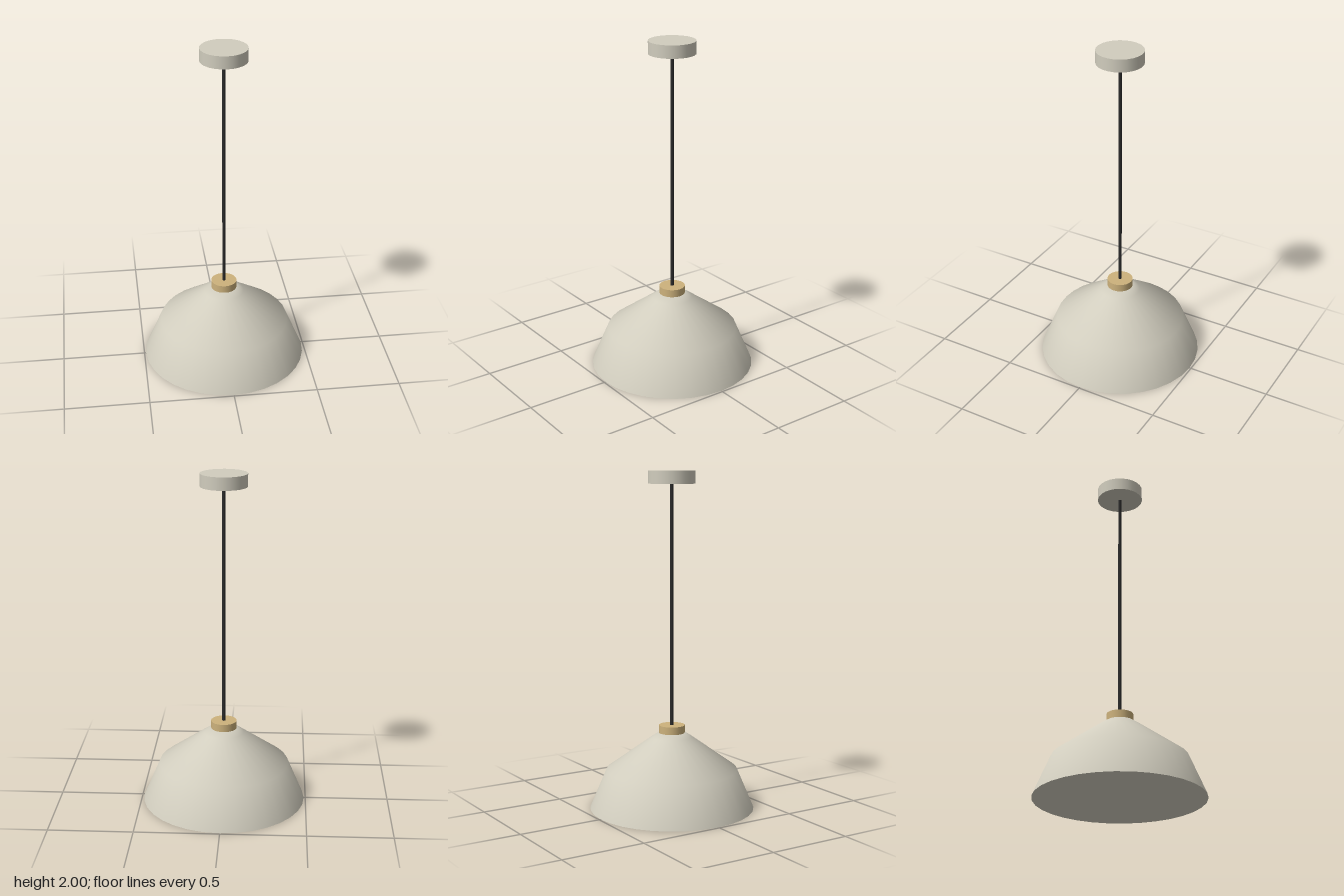
import * as THREE from 'three';

export function createModel() {
  const group = new THREE.Group();
  const material = (name, color, side = THREE.FrontSide) => {
    const m = new THREE.MeshStandardMaterial({ color, side });
    m.name = name;
    return m;
  };
  const stone = material('warm grey', 0xd1cdbe, THREE.DoubleSide);
  const brass = material('pale brass', 0xcdb27c);
  const black = material('cord black', 0x2b2b2b);

  const add = (name, geometry, mat, y = 0) => {
    const mesh = new THREE.Mesh(geometry, mat);
    mesh.name = name;
    mesh.position.y = y;
    group.add(mesh);
  };
  const rod = (name, r, bottom, top, sides, mat) =>
    add(name, new THREE.CylinderGeometry(r, r, top - bottom, sides), mat, (bottom + top) / 2);

  // Ceiling canopy, cord and collar
  rod('canopy', 0.137, 1.925, 2, 24, stone);
  rod('cord', 0.01, 0.49, 1.93, 12, black);
  rod('collar', 0.077, 0.455, 0.502, 24, brass);

  // Shade: shallow upper cone over a steep skirt
  const R = 0.49, SIDES = 32;
  const profile = [[R, 0], [0.39, 0.235], [0.12, 0.43], [0.08, 0.456], [0, 0.456]];
  add('shade', new THREE.LatheGeometry(profile.map(([x, y]) => new THREE.Vector2(x, y)), SIDES), stone);

  // Underside: part of the rim polygon, with soft normals leaning outward
  const underside = (first, last, flip) => {
    const pts = [];
    for (let i = first; i <= last; i++) {
      const a = (i / SIDES) * Math.PI * 2;
      pts.push(new THREE.Vector2(R * Math.cos(a), R * Math.sin(a)));
    }
    const geo = new THREE.ShapeGeometry(new THREE.Shape(pts));
    geo.rotateX(Math.PI / 2);
    const p = geo.attributes.position, n = geo.attributes.normal;
    const v = new THREE.Vector3();
    for (let i = 0; i < p.count; i++) {
      v.set(p.getX(i), -0.6, p.getZ(i)).normalize();
      n.setXYZ(i, v.x, v.y, v.z);
    }
    if (flip) geo.index.array.reverse();
    return geo;
  };
  add('underside', underside(9, 31, false), stone);
  add('undersideSegment', underside(-1, 9, true), stone);

  return group;
}
